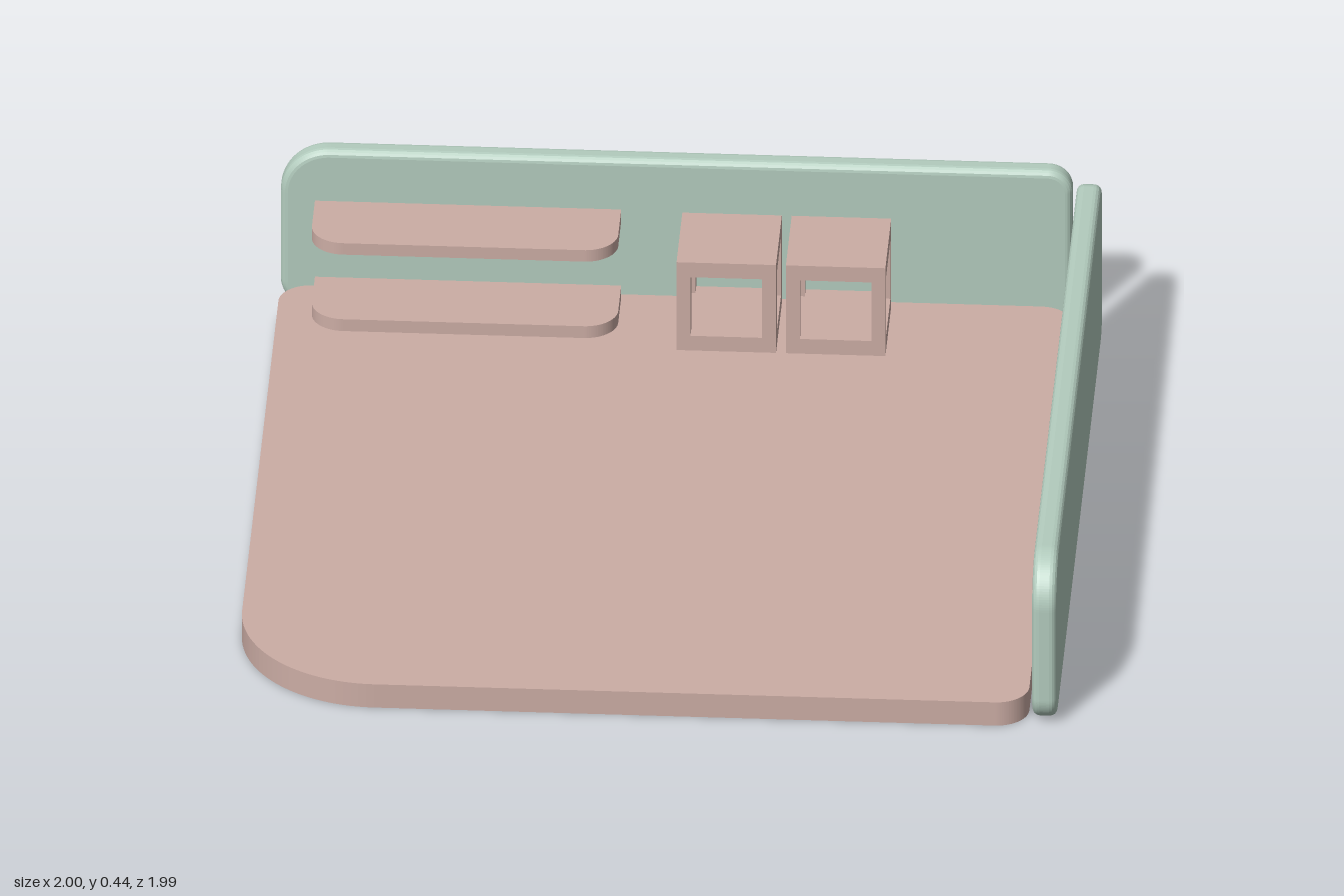
import * as THREE from 'three';

const pink = new THREE.MeshStandardMaterial({ name: 'dusty pink', color: 0xccada5 });
const green = new THREE.MeshStandardMaterial({ name: 'sage green', color: 0xb3ccbe });

// Rectangle with its own radius at each corner: [x0y0, x1y0, x1y1, x0y1]
function roundedRect(x0, y0, x1, y1, [a, b, c, d]) {
  const s = new THREE.Shape();
  const arc = (x, y, r, start) => {
    if (r > 0) s.absarc(x, y, r, start, start + Math.PI / 2, false);
    else s.lineTo(x, y);
  };
  s.moveTo(x0 + a, y0);
  arc(x1 - b, y0 + b, b, -Math.PI / 2);
  arc(x1 - c, y1 - c, c, 0);
  arc(x0 + d, y1 - d, d, Math.PI / 2);
  arc(x0 + a, y0 + a, a, Math.PI);
  return s;
}

// Extrusion whose bevel stays inside the given outline and thickness
function slab(shape, thickness, bevel = 0) {
  const geo = new THREE.ExtrudeGeometry(shape, {
    depth: thickness - 2 * bevel, curveSegments: 14,
    bevelEnabled: bevel > 0, bevelThickness: bevel, bevelSize: bevel,
    bevelOffset: -bevel, bevelSegments: 4,
  });
  return geo.translate(0, 0, bevel);
}

export function createModel() {
  const model = new THREE.Group();
  model.name = 'room';
  const add = (parent, name, geo, mat) => {
    const mesh = new THREE.Mesh(geo, mat);
    mesh.name = name;
    parent.add(mesh);
    return mesh;
  };

  // Horizontal plate, outline in x and z, top surface at the given height
  const plate = (name, x0, z0, x1, z1, radii, top, thickness) => {
    const geo = slab(roundedRect(x0, z0, x1, z1, radii), thickness);
    add(model, name, geo.rotateX(Math.PI / 2).translate(0, top, 0), pink);
  };

  // Floor with one large rounded corner
  plate('floor', -1, -0.94, 0.93, 0.99, [0.08, 0.08, 0.08, 0.34], 0.065, 0.065);

  // Two walls with softened edges
  const back = slab(roundedRect(-1, 0.003, 0.926, 0.44, [0.07, 0.07, 0.06, 0.12]), 0.057, 0.018);
  add(model, 'backWall', back.translate(0, 0, -1), green);
  const side = slab(roundedRect(-0.935, 0.003, 0.99, 0.44, [0.07, 0.07, 0.12, 0.06]), 0.06, 0.018);
  add(model, 'sideWall', side.rotateY(-Math.PI / 2).translate(1, 0, 0), green);

  // Low bench and the shelf above it
  const shelfRadii = [0, 0, 0.08, 0.08];
  plate('bench', -0.915, -0.925, -0.17, -0.722, shelfRadii, 0.098, 0.034);
  plate('shelf', -0.915, -0.925, -0.17, -0.722, shelfRadii, 0.311, 0.032);

  // Open cube frames: solid top and bottom, four corner posts
  const w = 0.242, post = 0.034, y0 = 0.064, y1 = 0.311, low = 0.106, high = 0.27;
  for (const [name, x] of [['leftCube', 0.1], ['rightCube', 0.366]]) {
    const cube = new THREE.Group();
    cube.name = name;
    cube.position.set(x, 0, -0.798);
    model.add(cube);
    add(cube, 'cubeBase', new THREE.BoxGeometry(w, low - y0, w), pink).position.y = (low + y0) / 2;
    add(cube, 'cubeTop', new THREE.BoxGeometry(w, y1 - high, w), pink).position.y = (y1 + high) / 2;
    const off = (w - post) / 2;
    for (const sx of [-1, 1]) for (const sz of [-1, 1]) {
      add(cube, 'cubePost', new THREE.BoxGeometry(post, high - low, post), pink)
        .position.set(sx * off, (high + low) / 2, sz * off);
    }
  }
  return model;
}
